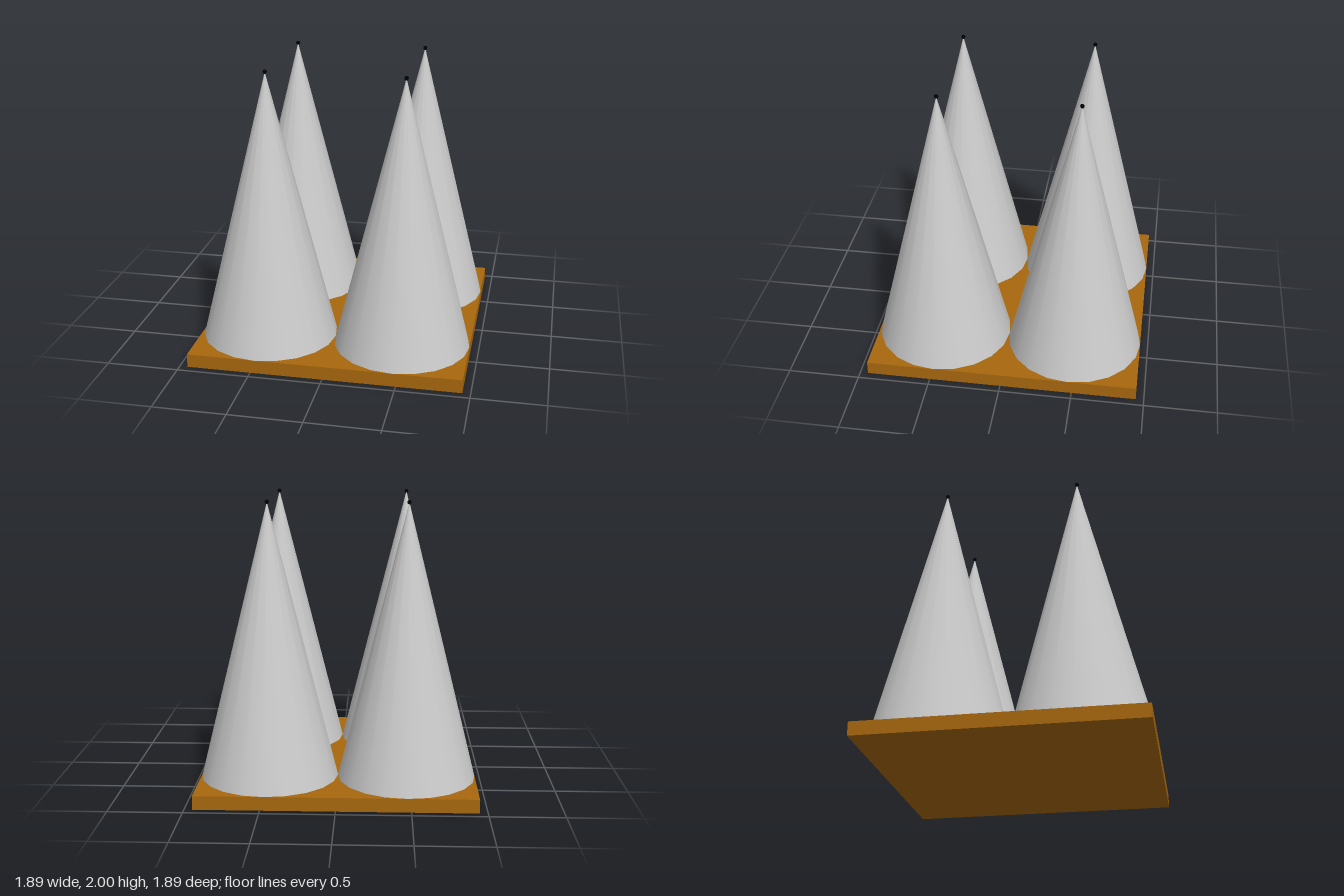
import * as THREE from 'three';

export function createModel() {
  const model = new THREE.Group();
  model.name = 'coneBoard';

  const grey = new THREE.MeshStandardMaterial({ color: 0xcccccc });
  const brown = new THREE.MeshStandardMaterial({ color: 0xa8680e });
  const black = new THREE.MeshStandardMaterial({ color: 0x000000 });

  const width = 1.89, thickness = 0.0945;
  const radius = width / 4, height = 1.89, tipRadius = 0.0145;

  function add(name, geometry, material, x, y, z) {
    const mesh = new THREE.Mesh(geometry, material);
    mesh.name = name;
    mesh.position.set(x, y, z);
    model.add(mesh);
  }

  // Square board
  add('base', new THREE.BoxGeometry(width, thickness, width), brown, 0, thickness / 2, 0);

  // Four touching cones, each with a tiny ball on its point
  const coneGeometry = new THREE.ConeGeometry(radius, height, 20);
  const tipGeometry = new THREE.SphereGeometry(tipRadius, 16, 12);
  for (const x of [-radius, radius]) {
    for (const z of [-radius, radius]) {
      const place = (z > 0 ? 'front' : 'back') + (x > 0 ? 'Left' : 'Right');
      add(place + 'Cone', coneGeometry, grey, x, thickness + height / 2, z);
      add(place + 'Tip', tipGeometry, black, x, thickness + height, z);
    }
  }

  return model;
}
